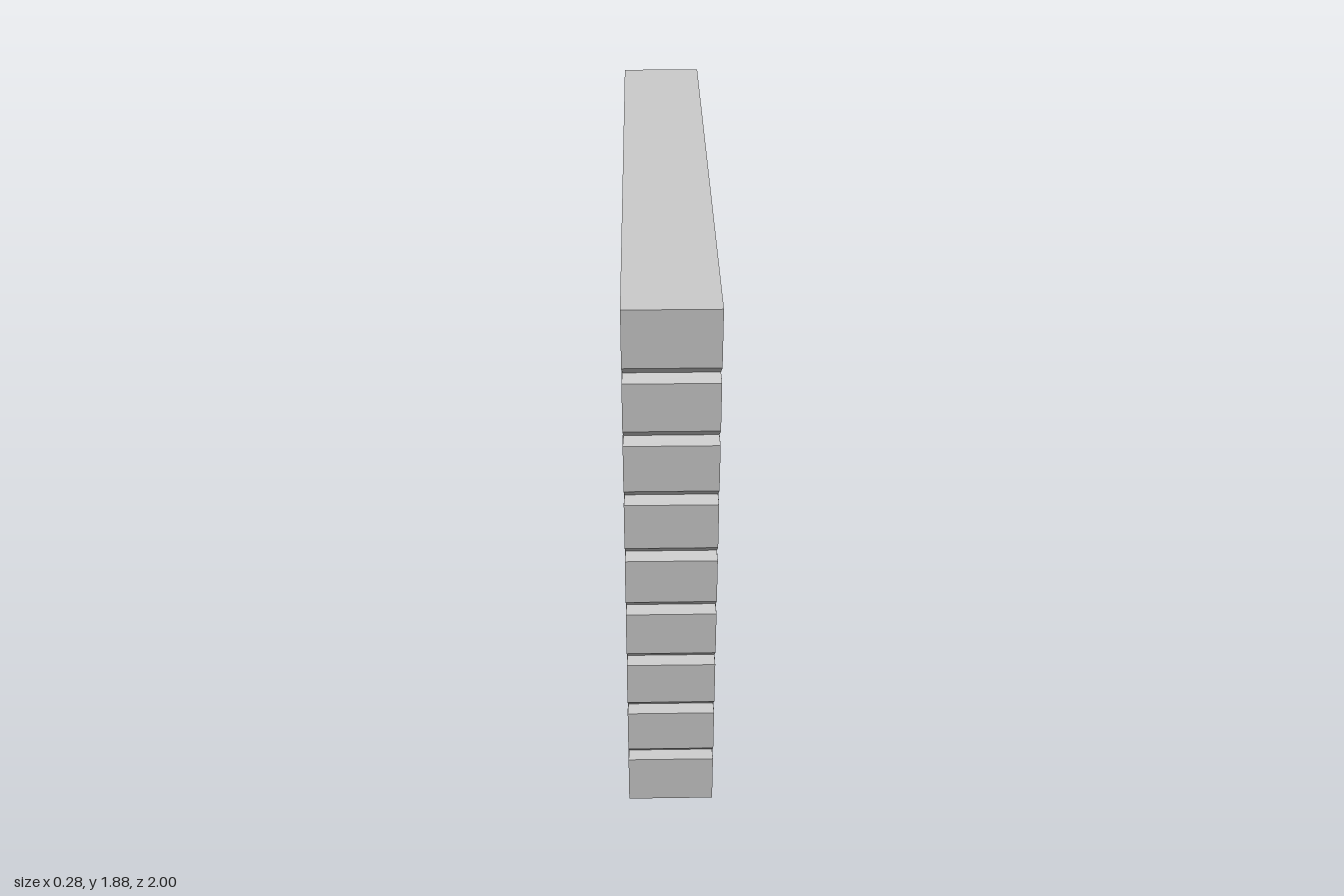
import * as THREE from 'three';

const WIDTH = 0.282, HEIGHT = 1.88, LENGTH = 2;
const COURSES = 9;
const GROOVE_HALF = 0.025; // half the height of a V joint
const GROOVE_SCALE = 0.98; // the wall narrows to this at the joint's centre

export function createModel() {
  const group = new THREE.Group();
  group.name = 'groovedWall';

  // Heights and scales of the cross-sections, from bottom to top
  const levels = [[0, 1]];
  const pitch = HEIGHT / COURSES;
  for (let i = 1; i < COURSES; i++) {
    const y = i * pitch;
    levels.push([y - GROOVE_HALF, 1], [y, GROOVE_SCALE], [y + GROOVE_HALF, 1]);
  }
  levels.push([HEIGHT, 1]);

  // A box with one row per cross-section, pinched at every joint
  const rows = levels.length - 1;
  const box = new THREE.BoxGeometry(WIDTH, 1, LENGTH, 1, rows, 1);
  const pos = box.attributes.position;
  for (let i = 0; i < pos.count; i++) {
    const [y, scale] = levels[Math.round((pos.getY(i) + 0.5) * rows)];
    pos.setXYZ(i, pos.getX(i) * scale, y, pos.getZ(i) * scale);
  }
  const geometry = box.toNonIndexed();
  geometry.computeVertexNormals();

  const material = new THREE.MeshStandardMaterial({ color: 0xcccccc, flatShading: true });
  const wall = new THREE.Mesh(geometry, material);
  wall.name = 'wallCourses';
  group.add(wall);
  return group;
}
